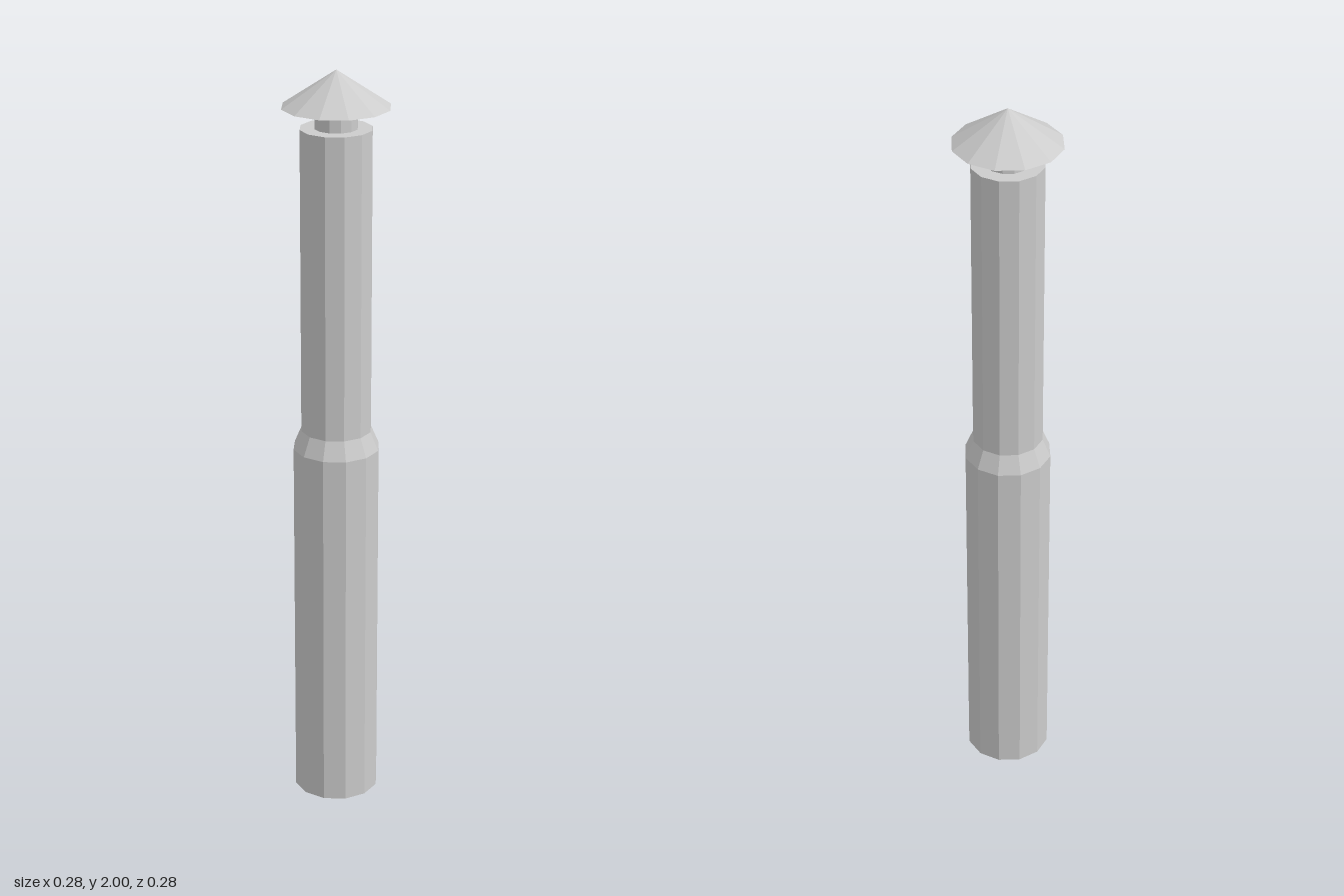
import * as THREE from 'three';

const SIDES = 12;

export function createModel() {
  const group = new THREE.Group();
  const material = new THREE.MeshStandardMaterial({
    color: 0xcccccc, flatShading: true, side: THREE.DoubleSide,
  });

  // Twelve-sided section between heights y0 and y1
  function section(name, r0, r1, y0, y1, open = true) {
    const geometry = new THREE.CylinderGeometry(r1, r0, y1 - y0, SIDES, 1, open);
    const mesh = new THREE.Mesh(geometry, material);
    mesh.name = name;
    mesh.position.y = (y0 + y1) / 2;
    group.add(mesh);
  }

  // Pipe: open at the bottom, narrowing halfway up
  section('lowerPipe', 0.114, 0.114, 0, 1);
  section('taperedCollar', 0.114, 0.093, 1, 1.05);
  section('upperPipe', 0.093, 0.093, 1.05, 1.853);

  // Flat plate closing the top of the pipe
  const plate = new THREE.Mesh(new THREE.CircleGeometry(0.093, SIDES), material);
  plate.name = 'topPlate';
  plate.rotation.x = -Math.PI / 2;
  plate.position.y = 1.853;
  group.add(plate);

  // Narrow neck carrying the rain cap
  section('neck', 0.055, 0.055, 1.853, 1.907);

  // Conical rain cap with a flat underside
  const cap = new THREE.Mesh(new THREE.ConeGeometry(0.139, 0.093, SIDES), material);
  cap.name = 'rainCap';
  cap.position.y = 1.907 + 0.093 / 2;
  group.add(cap);

  return group;
}
